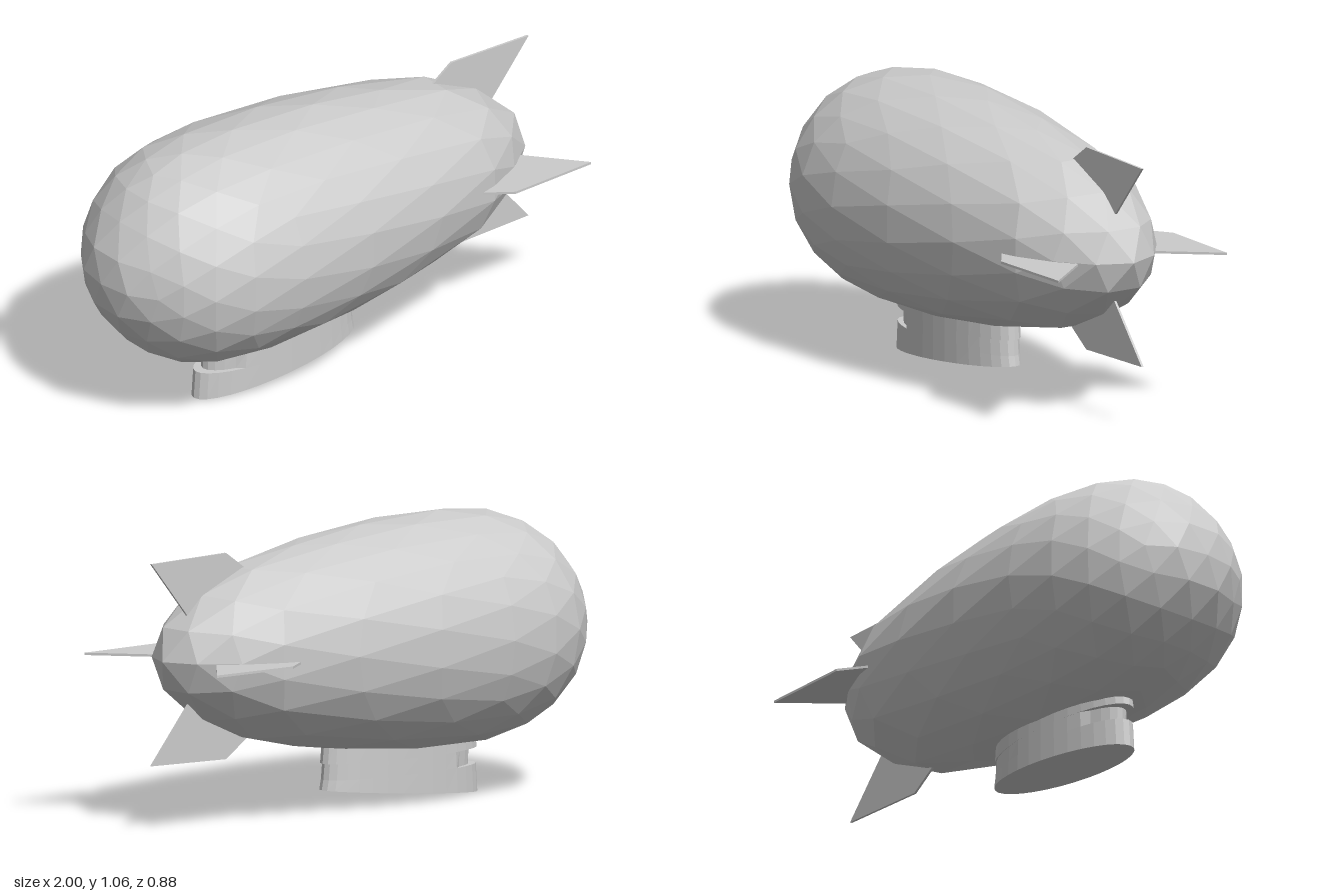
import * as THREE from 'three';

const material = new THREE.MeshStandardMaterial({ color: 0xcccccc, flatShading: true });
const AXIS_Y = 0.62;
const RADIUS = 0.438;

// Lengthwise stretch of the hull: unit-sphere x -> model x
const STRETCH = [
  [-1, -1], [-0.96, -0.982], [-0.851, -0.912], [-0.526, -0.755], [-0.263, -0.604], [0, -0.385],
  [0.263, -0.053], [0.526, 0.31], [0.69, 0.58], [0.851, 0.755], [0.951, 0.88], [1, 0.945],
];

function stretch(c) {
  let i = 1;
  while (i < STRETCH.length - 1 && c > STRETCH[i][0]) i++;
  const [c0, x0] = STRETCH[i - 1];
  const [c1, x1] = STRETCH[i];
  return x0 + (x1 - x0) * (c - c0) / (c1 - c0);
}

// Faceted ball drawn out into a blunt-nosed, tapered envelope
function makeHull() {
  const geometry = new THREE.IcosahedronGeometry(1, 3);
  const p = geometry.attributes.position;
  for (let i = 0; i < p.count; i++) {
    p.setXYZ(i, stretch(p.getX(i)), AXIS_Y + p.getY(i) * RADIUS, p.getZ(i) * RADIUS);
  }
  geometry.computeVertexNormals();
  const hull = new THREE.Mesh(geometry, material);
  hull.name = 'hull';
  return hull;
}

// Elliptical cabin lofted from rings, with a window groove round the nose
function makeGondola() {
  const SIDES = 32;
  const CENTRE = -0.195;
  // [height, half length, groove scale at the nose]; null height = sloping floor
  const rings = [
    [null, 0.37, 1], [0.108, 0.362, 1], [0.108, 0.362, 0.9],
    [0.168, 0.356, 0.92], [0.168, 0.366, 1], [0.28, 0.354, 1],
  ];
  const positions = [];
  const index = [];
  rings.forEach(([height, halfLength, groove]) => {
    for (let i = 0; i < SIDES; i++) {
      const a = (i / SIDES) * Math.PI * 2;
      const s = Math.cos(a) < -0.68 ? groove : 1;
      const x = CENTRE + Math.cos(a) * halfLength * s;
      const y = height ?? 0.07 * (x + 0.565) / 0.74;
      positions.push(x, y, Math.sin(a) * 0.115 * s);
    }
  });
  for (let r = 0; r < rings.length - 1; r++) {
    for (let i = 0; i < SIDES; i++) {
      const j = (i + 1) % SIDES;
      const a = r * SIDES + i, b = r * SIDES + j;
      index.push(a, a + SIDES, b, b, a + SIDES, b + SIDES);
    }
  }
  // Floor and roof caps
  const top = (rings.length - 1) * SIDES;
  for (let i = 1; i < SIDES - 1; i++) {
    index.push(0, i, i + 1, top, top + i + 1, top + i);
  }
  const geometry = new THREE.BufferGeometry();
  geometry.setAttribute('position', new THREE.Float32BufferAttribute(positions, 3));
  geometry.setIndex(index);
  const flat = geometry.toNonIndexed();
  flat.computeVertexNormals();
  const gondola = new THREE.Mesh(flat, material);
  gondola.name = 'gondola';
  return gondola;
}

// Four thin swept fins set around the tail
function makeFins() {
  const outline = [[0.5, 0.285], [0.64, 0.383], [1, 0.375], [0.775, 0.105]];
  const shape = new THREE.Shape(outline.map(([x, y]) => new THREE.Vector2(x, y)));
  const geometry = new THREE.ExtrudeGeometry(shape, { depth: 0.009, bevelEnabled: false });
  geometry.translate(0, 0, -0.0045);
  const fins = new THREE.Group();
  fins.name = 'tailFins';
  ['topFin', 'frontFin', 'bottomFin', 'backFin'].forEach((name, i) => {
    const fin = new THREE.Mesh(geometry, material);
    fin.name = name;
    fin.rotation.x = i * Math.PI / 2;
    fins.add(fin);
  });
  fins.position.y = 0.614;
  return fins;
}

export function createModel() {
  const airship = new THREE.Group();
  airship.name = 'airship';
  airship.add(makeHull(), makeGondola(), makeFins());
  return airship;
}
